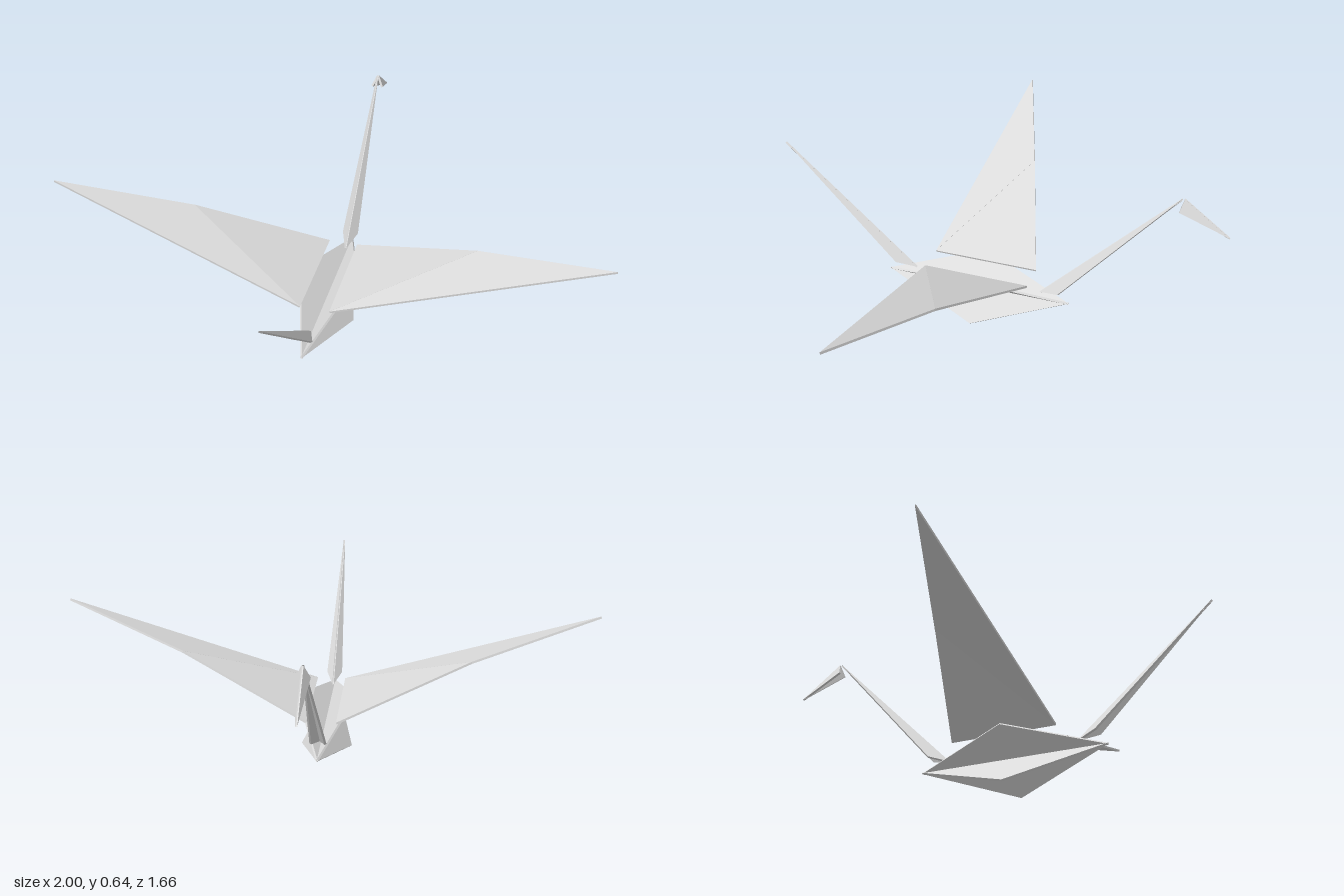
import * as THREE from 'three';

const THICKNESS = 0.008;

// Folded sheet: every triangle becomes a thin prism around its own plane
function foldedSheet(triangles) {
  const positions = [];
  const face = (...pts) => pts.forEach((p) => positions.push(p.x, p.y, p.z));
  for (const tri of triangles) {
    const [a, b, c] = tri.map((p) => new THREE.Vector3(...p));
    const n = b.clone().sub(a).cross(c.clone().sub(a)).setLength(THICKNESS / 2);
    const top = [a, b, c].map((p) => p.clone().add(n));
    const low = [a, b, c].map((p) => p.clone().sub(n));
    face(...top);
    face(low[2], low[1], low[0]);
    for (let i = 0; i < 3; i++) {
      const j = (i + 1) % 3;
      face(low[i], low[j], top[j]);
      face(low[i], top[j], top[i]);
    }
  }
  const geometry = new THREE.BufferGeometry();
  geometry.setAttribute('position', new THREE.Float32BufferAttribute(positions, 3));
  geometry.computeVertexNormals();
  return geometry;
}

export function createModel() {
  const model = new THREE.Group();
  model.name = 'paperCrane';
  const paper = new THREE.MeshStandardMaterial({ color: 0xdcdcdc });
  paper.name = 'paper';

  // Adds a sheet on the left side and its mirror image on the right
  function addPair(name, triangles) {
    const group = new THREE.Group();
    group.name = name;
    for (const [side, s] of [['left', 1], ['right', -1]]) {
      const mirrored = triangles.map((tri) => tri.map(([x, y, z]) => [x * s, y, z]));
      const mesh = new THREE.Mesh(foldedSheet(mirrored), paper);
      mesh.name = `${side} ${name}`;
      group.add(mesh);
    }
    model.add(group);
  }

  // Body: four triangular flaps meeting along the central fold
  const foldFront = [0, 0.12, 0.43];
  const foldBack = [0, 0.12, -0.285];
  addPair('lowerBodyFlap', [[foldFront, foldBack, [0.093, 0.006, 0.07]]]);
  addPair('upperBodyFlap', [[foldFront, [0.11, 0.213, 0.07], foldBack]]);

  // Wings: two facets each, creased from trailing root to the leading edge
  const rootA = [0.055, 0.199, 0.26];
  const rootB = [0.055, 0.199, -0.14];
  const bend = [0.53, 0.388, 0.02];
  const tip = [0.998, 0.52, 0.182];
  addPair('wing', [[rootA, bend, rootB], [rootA, tip, bend]]);

  // Neck, tail and head: narrow strips folded along a ridge
  addPair('neck', [[[0, 0.148, -0.175], [0.027, 0.17, -0.25], [0, 0.642, -0.66]]]);
  addPair('tail', [[[0, 0.148, 0.32], [0.027, 0.17, 0.395], [0, 0.596, 0.83]]]);
  addPair('head', [[[0, 0.643, -0.667], [0.02, 0.6, -0.655], [0, 0.522, -0.83]]]);

  return model;
}
